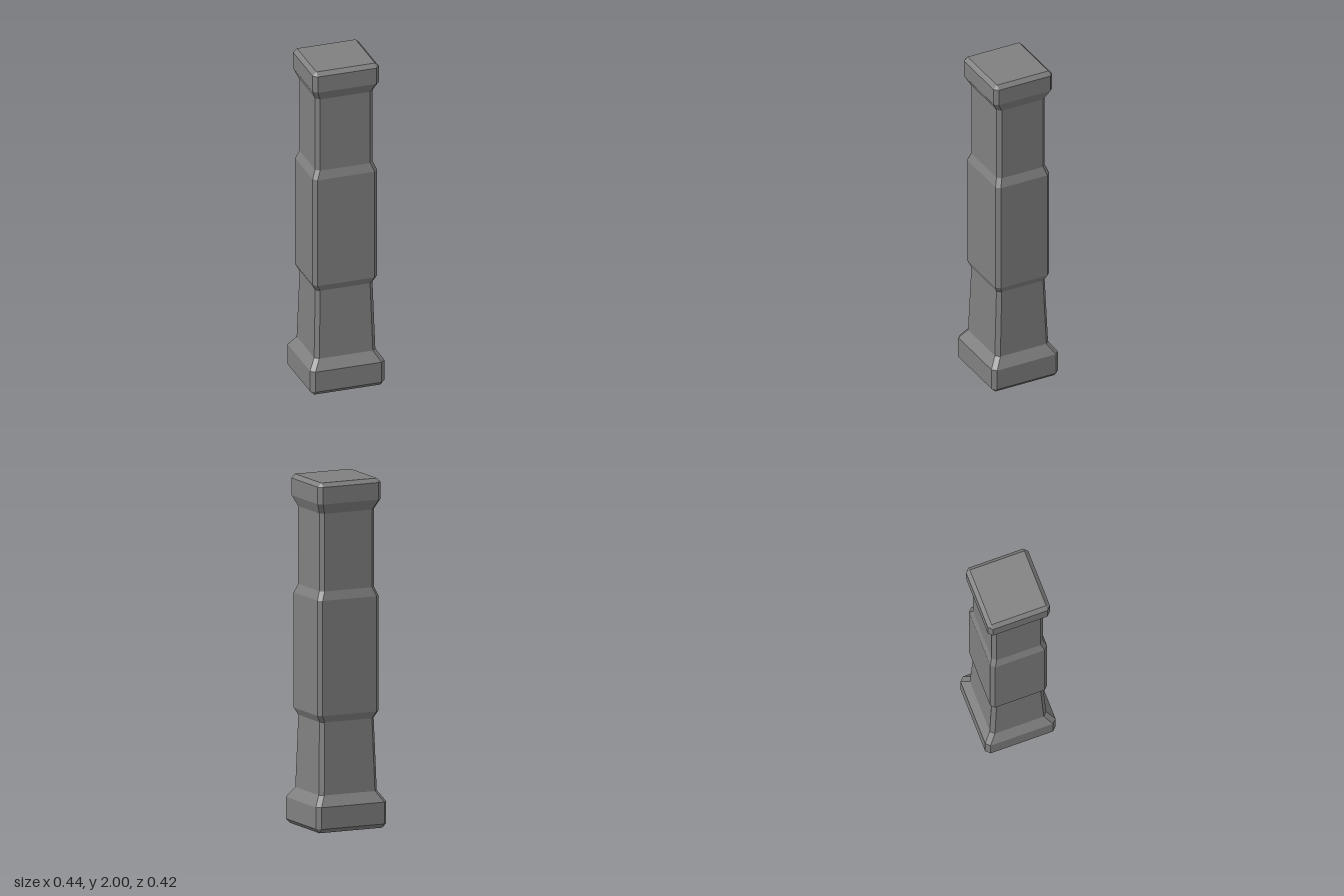
import * as THREE from 'three';

// Cross-sections from bottom to top: height, half width, half depth, corner chamfer
const SECTIONS = [
  [0, 0.198, 0.188, 0],
  [0.025, 0.222, 0.212, 0.024],
  [0.15, 0.222, 0.212, 0.024],
  [0.21, 0.183, 0.17, 0.023],
  [0.625, 0.171, 0.154, 0.022],
  [0.665, 0.192, 0.171, 0.022],
  [1.325, 0.192, 0.171, 0.022],
  [1.375, 0.172, 0.154, 0.022],
  [1.82, 0.172, 0.154, 0.022],
  [1.88, 0.198, 0.187, 0.023],
  [1.978, 0.198, 0.187, 0.023],
  [2, 0.175, 0.164, 0],
];

// Chamfered rectangle, counter-clockwise when seen from above
function ring([y, w, d, c]) {
  return [
    [w, d - c], [w, -d + c], [w - c, -d], [-w + c, -d],
    [-w, -d + c], [-w, d - c], [-w + c, d], [w - c, d],
  ].map(([x, z]) => new THREE.Vector3(x, y, z));
}

function loft(sections) {
  const rings = sections.map(ring);
  const points = [];
  // Skip triangles that collapse where a chamfer shrinks to a point
  const tri = (a, b, c) => {
    if (new THREE.Triangle(a, b, c).getArea() > 1e-8) points.push(a, b, c);
  };
  for (let i = 0; i < rings.length - 1; i++) {
    const lo = rings[i], hi = rings[i + 1];
    for (let j = 0; j < 8; j++) {
      const k = (j + 1) % 8;
      tri(lo[j], lo[k], hi[k]);
      tri(lo[j], hi[k], hi[j]);
    }
  }
  // End faces
  const bottom = rings[0], top = rings[rings.length - 1];
  for (let j = 1; j < 7; j++) {
    tri(top[0], top[j], top[j + 1]);
    tri(bottom[0], bottom[j + 1], bottom[j]);
  }
  const geometry = new THREE.BufferGeometry().setFromPoints(points);
  geometry.computeVertexNormals(); // unshared corners give flat faces
  return geometry;
}

export function createModel() {
  const stone = new THREE.MeshStandardMaterial({ color: 0x808080, flatShading: true });
  stone.name = 'grey stone';

  const pillar = new THREE.Mesh(loft(SECTIONS), stone);
  pillar.name = 'pillar';

  const group = new THREE.Group();
  group.name = 'stonePillar';
  group.add(pillar);
  return group;
}
